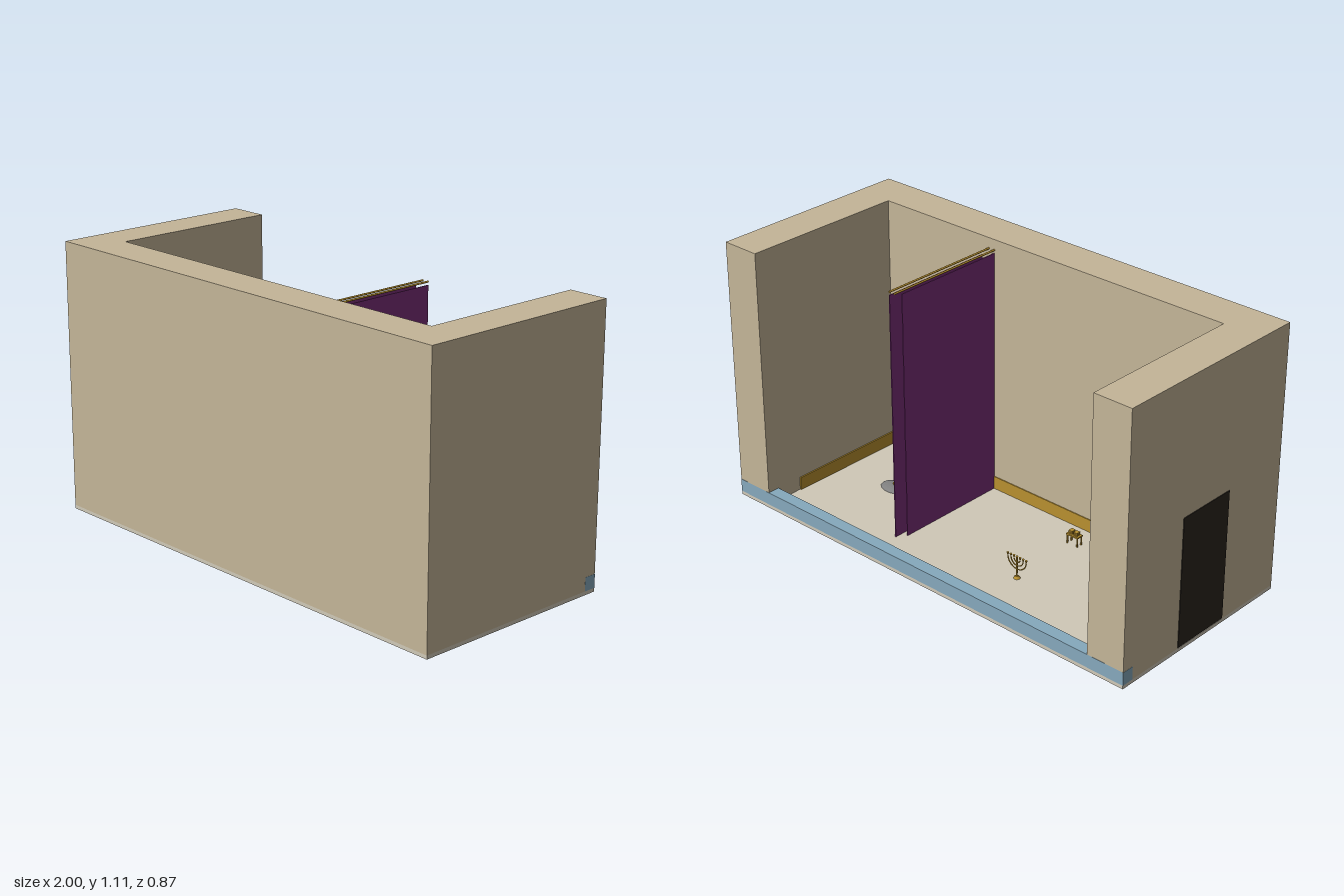
import * as THREE from 'three';

const mat = (color, side = THREE.FrontSide) =>
  new THREE.MeshStandardMaterial({ color, side });
const M = {
  stone: mat(0xc4b598), floor: mat(0xd0c9b8), blue: mat(0x86a9bd), gold: mat(0xb8902f),
  purple: mat(0x7a2e78), dark: mat(0x2a241e), rock: mat(0x808080),
};
M.rock.flatShading = true;

export function createModel() {
  const model = new THREE.Group();
  const FLOOR = 0.015, TOP = 1.11, HX = 0.997, HZ = 0.437, IN = 0.832, FZ = 0.27;

  const add = (parent, name, geo, material, x = 0, y = 0, z = 0) => {
    const m = new THREE.Mesh(geo, material);
    m.name = name;
    m.position.set(x, y, z);
    parent.add(m);
    return m;
  };
  // Box given by its minimum and maximum corners
  const box = (parent, name, material, x0, x1, y0, y1, z0, z1) =>
    add(parent, name, new THREE.BoxGeometry(x1 - x0, y1 - y0, z1 - z0), material,
      (x0 + x1) / 2, (y0 + y1) / 2, (z0 + z1) / 2);
  const piece = (name, x, z) => {
    const g = new THREE.Group();
    g.name = name;
    g.position.set(x, FLOOR, z);
    model.add(g);
    return g;
  };

  // Floor and the two plain walls
  box(model, 'floor', M.floor, -HX, HX, 0, FLOOR, -HZ, HZ);
  box(model, 'frontWall', M.stone, -HX, HX, FLOOR, TOP, FZ, HZ);
  box(model, 'leftWall', M.stone, IN, HX, FLOOR, TOP, -HZ, FZ);

  // Wall with a doorway; shape x runs along -z after the turn
  const wall = new THREE.Shape();
  wall.moveTo(-FZ, FLOOR);
  wall.lineTo(-0.13, FLOOR);
  wall.lineTo(-0.13, 0.555);
  wall.lineTo(0.13, 0.555);
  wall.lineTo(0.13, FLOOR);
  wall.lineTo(HZ, FLOOR);
  wall.lineTo(HZ, TOP);
  wall.lineTo(-FZ, TOP);
  const wallGeo = new THREE.ExtrudeGeometry(wall, { depth: HX - IN, bevelEnabled: false });
  add(model, 'rightWall', wallGeo.rotateY(Math.PI / 2), M.stone, -HX, 0, 0);
  box(model, 'door', M.dark, -1, -0.992, 0.02, 0.56, -0.13, 0.13);

  // Low kerb across the open back
  box(model, 'backKerb', M.blue, -HX - 0.0005, HX + 0.0005, FLOOR, 0.07, -HZ - 0.0005, -0.385);

  // Gilded skirting
  box(model, 'leftSkirting', M.gold, IN - 0.006, IN, FLOOR, 0.07, -FZ, FZ);
  box(model, 'frontSkirting', M.gold, -IN, IN, FLOOR, 0.07, FZ - 0.004, FZ);

  // Two curtains, each stopping short at opposite ends, with rods above
  [[0.26, -0.232, FZ], [0.287, -FZ, 0.232]].forEach(([x, z0, z1]) => {
    box(model, 'curtain', M.purple, x - 0.002, x + 0.002, FLOOR, 1.053, z0, z1);
    const rod = new THREE.CylinderGeometry(0.004, 0.004, 2 * FZ, 8).rotateX(Math.PI / 2);
    add(model, 'curtainRod', rod, M.gold, x, 1.066, 0);
  });

  // Seven-branched lampstand
  const lamp = piece('lampstand', -0.26, -0.17);
  add(lamp, 'lampBase', new THREE.CylinderGeometry(0.007, 0.014, 0.01, 10), M.gold, 0, 0.005, 0);
  add(lamp, 'lampStem', new THREE.CylinderGeometry(0.003, 0.003, 0.09, 8), M.gold, 0, 0.05, 0);
  for (let i = 1; i <= 3; i++) {
    const r = i * 0.0155;
    const arm = new THREE.TorusGeometry(r, 0.0025, 6, 20, Math.PI).rotateZ(Math.PI);
    add(lamp, 'lampBranch', arm, M.gold, 0, 0.086, 0);
  }
  for (let i = -3; i <= 3; i++) {
    add(lamp, 'lampCup', new THREE.CylinderGeometry(0.005, 0.003, 0.008, 8), M.gold,
      i * 0.0155, 0.092, 0);
  }

  // Table with four legs and two stacks
  const table = piece('table', -0.26, 0.162);
  box(table, 'tableTop', M.gold, -0.029, 0.029, 0.038, 0.044, -0.016, 0.016);
  for (const sx of [-1, 1]) {
    for (const sz of [-1, 1]) {
      add(table, 'tableLeg', new THREE.BoxGeometry(0.005, 0.038, 0.005), M.gold,
        sx * 0.025, 0.019, sz * 0.012);
    }
    for (let i = 0; i < 3; i++) {
      add(table, 'loaf', new THREE.BoxGeometry(0.018, 0.004, 0.02), M.gold,
        sx * 0.012, 0.0465 + i * 0.005, 0);
    }
  }

  // Small square altar with corner horns
  const altar = piece('altar', -0.535, 0);
  box(altar, 'altarBody', M.gold, -0.013, 0.013, 0, 0.048, -0.013, 0.013);
  box(altar, 'altarRim', M.gold, -0.016, 0.016, 0.044, 0.049, -0.016, 0.016);
  for (const sx of [-1, 1]) {
    for (const sz of [-1, 1]) {
      add(altar, 'altarHorn', new THREE.BoxGeometry(0.005, 0.007, 0.005), M.gold,
        sx * 0.0135, 0.052, sz * 0.0135);
    }
  }

  // Flat rock with a small gilt vessel
  const rock = piece('rock', 0.56, 0);
  const slab = new THREE.SphereGeometry(1, 14, 6, 0, Math.PI * 2, 0, Math.PI / 2);
  slab.scale(0.066, 0.014, 0.047);
  add(rock, 'rockSlab', slab, M.rock);
  add(rock, 'vessel', new THREE.CylinderGeometry(0.008, 0.006, 0.01, 10), M.gold, 0, 0.017, 0);

  return model;
}
